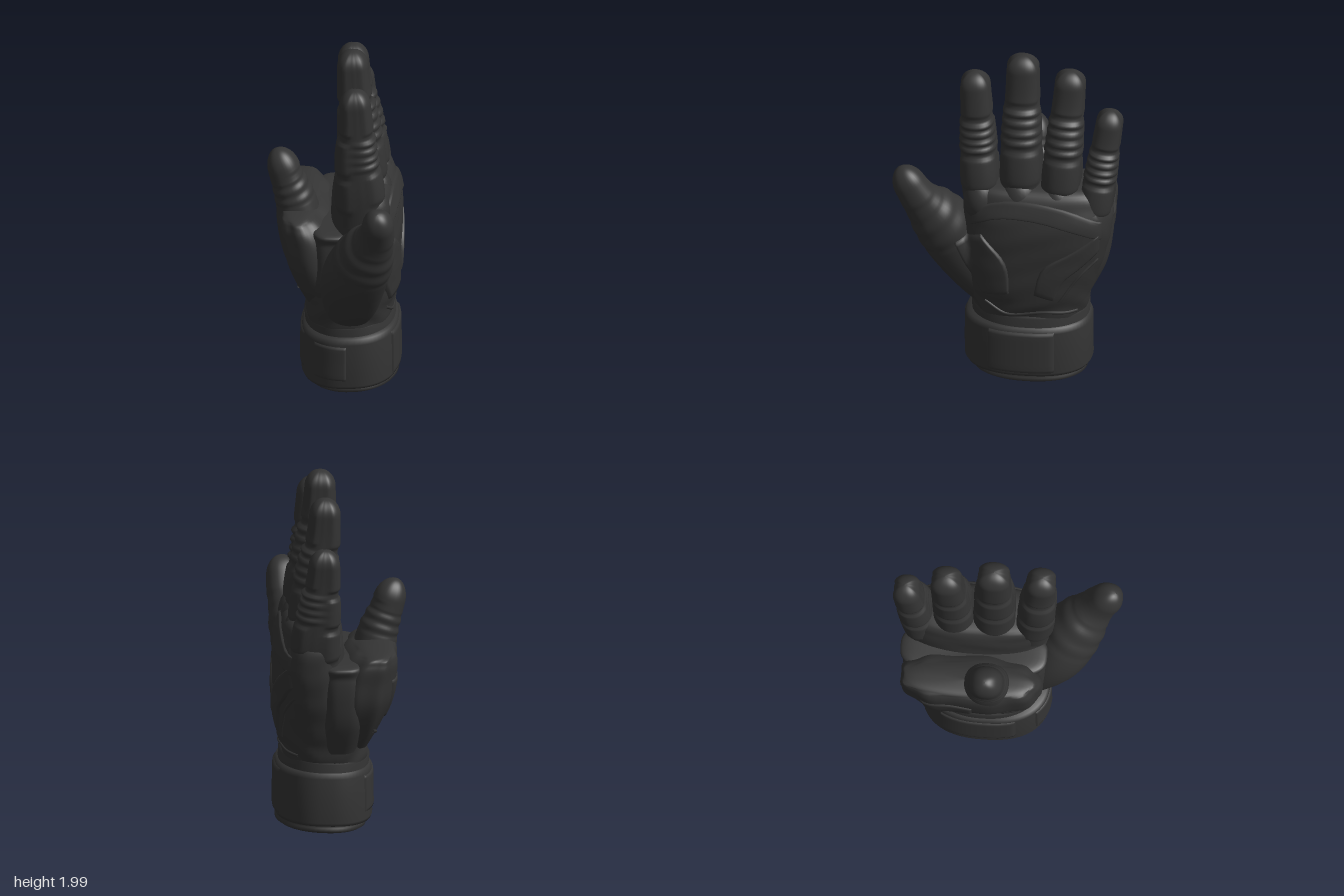
import * as THREE from 'three';

const V = (x, y, z) => new THREE.Vector3(x, y, z);
const leather = new THREE.MeshStandardMaterial({ color: 0x343434, side: THREE.DoubleSide });
leather.name = 'charcoal leather';

// Surface over a grid of points; closed rings wrap around
function gridMesh(name, rows, wrap) {
  const n = rows[0].length, pos = [], idx = [];
  rows.forEach(r => r.forEach(p => pos.push(p.x, p.y, p.z)));
  for (let i = 0; i < rows.length - 1; i++) {
    for (let j = 0; j < (wrap ? n : n - 1); j++) {
      const k = (j + 1) % n, a = i * n + j, b = i * n + k;
      idx.push(a, a + n, b, b, a + n, b + n);
    }
  }
  const g = new THREE.BufferGeometry();
  g.setAttribute('position', new THREE.Float32BufferAttribute(pos, 3));
  g.setIndex(idx);
  g.computeVertexNormals();
  const m = new THREE.Mesh(g, leather);
  m.name = name;
  return m;
}

// Smooth interpolation of a table of numbers, column by column
function sample(table, t) {
  const f = Math.min(t, 0.99999) * (table.length - 1), i = Math.floor(f), w = f - i;
  const at = k => table[Math.max(0, Math.min(table.length - 1, k))];
  return table[0].map((_, c) => {
    const [p, a, b, q] = [at(i - 1)[c], at(i)[c], at(i + 1)[c], at(i + 2)[c]];
    return a + 0.5 * w * (b - p + w * (2 * p - 5 * a + 4 * b - q + w * (3 * (a - b) + q - p)));
  });
}

const power = (v, e) => Math.sign(v) * Math.pow(Math.abs(v), e);

// Stack of horizontal rounded sections [y, cx, cz, rx, rz]
function body(name, table, { smooth = true, tilt = 0, exp = 2.5, bump = () => 0 } = {}) {
  const steps = smooth ? 48 : table.length - 1, rows = [];
  for (let i = 0; i <= steps; i++) {
    const [y, cx, cz, rx, rz] = smooth ? sample(table, i / steps) : table[i];
    const row = [];
    for (let j = 0; j < 64; j++) {
      const a = j / 64 * Math.PI * 2, b = bump(y, a);
      const x = power(Math.cos(a), 2 / exp) * (Math.max(rx, 0) + b);
      row.push(V(cx + x, y + x * tilt, cz + power(Math.sin(a), 2 / exp) * (Math.max(rz, 0) + b)));
    }
    rows.push(row);
  }
  return gridMesh(name, rows, true);
}

// Round-tipped limb along a path of [x, y, z, rx, rz]
function limb(name, table, cap, bump) {
  const rows = [], steps = 80, end = V(...table[table.length - 1].slice(0, 3));
  const pt = t => V(...sample(table, t).slice(0, 3));
  for (let i = 0; i <= steps; i++) {
    const t = 1 - Math.pow(1 - i / steps, 1.35);
    const [x, y, z, rx, rz] = sample(table, t), c = V(x, y, z);
    const T = pt(Math.min(1, t + 0.01)).sub(pt(Math.max(0, t - 0.01))).normalize();
    const U = V(1, 0, 0).addScaledVector(T, -T.x).normalize(), W = U.clone().cross(T);
    const d = Math.min(1, c.distanceTo(end) / cap), k = Math.sqrt(1 - (1 - d) ** 2);
    const row = [];
    for (let j = 0; j < 36; j++) {
      const a = j / 36 * Math.PI * 2, b = bump(t, a);
      row.push(c.clone().addScaledVector(U, power(Math.cos(a), 0.88) * (rx + b) * k)
        .addScaledVector(W, power(Math.sin(a), 0.88) * (rz + b) * k));
    }
    rows.push(row);
  }
  return gridMesh(name, rows, true);
}

const within = (t, a, b) => THREE.MathUtils.smoothstep(t, a, a + 0.025) * (1 - THREE.MathUtils.smoothstep(t, b - 0.025, b));

// Finger relief: plates and knuckle ribs on the back, three pads on the palm side
function fingerRelief(t, a) {
  const c = Math.cos(a);
  const back = THREE.MathUtils.smoothstep(c, 0.35, 0.55), front = THREE.MathUtils.smoothstep(-c, 0.2, 0.45);
  return back * 0.01 * (within(t, 0.18, 0.4) + within(t, 0.69, 1.1))
    + Math.max(0, 0.3 + 0.7 * c) * 0.017 * within(t, 0.42, 0.67) * Math.abs(Math.sin((t - 0.42) * Math.PI * 16))
    + front * 0.012 * (within(t, 0.12, 0.37) + within(t, 0.4, 0.64) + within(t, 0.68, 1.1));
}

const thumbRelief = (t, a) => 0.006 * within(t, 0.78, 1.1) * Math.max(0, Math.cos(a))
  + 0.003 * within(t, 0.48, 0.74) * Math.sin(t * 60 + Math.sin(a));

export function createModel() {
  const glove = new THREE.Group();
  glove.name = 'glove';
  const add = m => (glove.add(m), m);

  // Hand, the padded heel on the palm side, and the palm joining them
  const hand = add(body('hand', [
    [0.34, 0.08, -0.1, 0.22, 0.3], [0.45, 0.08, -0.11, 0.24, 0.32], [0.6, 0.1, -0.11, 0.25, 0.36],
    [0.8, 0.15, -0.13, 0.21, 0.4], [1.0, 0.17, -0.16, 0.195, 0.41], [1.13, 0.16, -0.155, 0.175, 0.405],
    [1.22, 0.15, -0.13, 0.13, 0.36], [1.24, 0.15, -0.12, 0, 0]
  ], { bump: (y, a) => 0.004 * Math.sin(y * 40 + 3 * Math.sin(a * 3)) * (y < 0.55 ? 1 : 0.4) }));
  const heel = add(body('palmHeel', [
    [0.44, -0.02, -0.13, 0.12, 0.2], [0.6, -0.08, -0.15, 0.135, 0.31], [0.76, -0.12, -0.165, 0.16, 0.375],
    [0.9, -0.14, -0.17, 0.17, 0.385], [1.0, -0.175, -0.18, 0.14, 0.375], [1.05, -0.2, -0.19, 0.085, 0.31],
    [1.065, -0.2, -0.19, 0, 0]
  ], { exp: 2.5, bump: (y, a) => 0.007 * Math.sin(a * 9) * Math.min(1, (y - 0.44) * 3) * (y < 1.04 ? 1 : 0) }));
  add(body('palm', [
    [0.48, 0.02, -0.14, 0.12, 0.3], [0.65, 0.0, -0.15, 0.15, 0.37], [0.8, 0.0, -0.16, 0.15, 0.39],
    [0.93, 0.0, -0.165, 0.15, 0.39], [1.0, 0.0, -0.165, 0.13, 0.37], [1.0, 0.0, -0.165, 0, 0]
  ], { exp: 3 }));

  // Thumbs: one at the side, one rising from the heel
  const thumb = add(limb('sideThumb', [
    [0.08, 0.42, 0.05, 0.11, 0.1], [0.1, 0.6, 0.17, 0.16, 0.14], [0.13, 0.8, 0.295, 0.18, 0.16],
    [0.2, 0.99, 0.395, 0.155, 0.15], [0.257, 1.15, 0.495, 0.095, 0.1], [0.268, 1.33, 0.595, 0.078, 0.08]
  ], 0.11, thumbRelief));
  add(limb('palmThumb', [
    [-0.14, 0.75, -0.08, 0.12, 0.14], [-0.185, 0.92, -0.08, 0.125, 0.14], [-0.22, 1.08, -0.08, 0.11, 0.12],
    [-0.27, 1.22, -0.08, 0.09, 0.1], [-0.325, 1.375, -0.08, 0.075, 0.085]
  ], 0.11, thumbRelief));

  // Fingers: [name, base z, base y, tip x, tip y, tip z, half width]
  for (const [name, bz, by, tx, ty, tz, w] of [
    ['indexFinger', 0.155, 1.06, 0.12, 1.89, 0.2, 0.093],
    ['middleFinger', -0.06, 1.08, 0.095, 2.0, -0.065, 0.103],
    ['ringFinger', -0.27, 1.06, 0.085, 1.91, -0.33, 0.097],
    ['littleFinger', -0.455, 0.96, 0.1, 1.68, -0.555, 0.083]
  ]) {
    const at = (k, x, rx, rz) => [x, by + (ty - by) * k, bz + (tz - bz) * k, rx, rz];
    add(limb(name, [
      at(0, 0.15, 0.13, w), at(0.25, 0.15, 0.125, w * 1.12), at(0.5, 0.13, 0.108, w * 1.03),
      at(0.75, tx + 0.01, 0.083, w * 0.9), at(1, tx, 0.07, w * 0.83)
    ], 0.09, fingerRelief));
    const knuckle = add(new THREE.Mesh(new THREE.SphereGeometry(1, 24, 16), leather));
    knuckle.name = name + 'Knuckle';
    knuckle.scale.set(0.09, 0.13, w);
    knuckle.position.set(0.225, by + 0.07, bz);
  }

  // Cuff with rolled hem and a dished closed base, plus the wrist strap
  add(body('cuff', [
    [0.1, 0.1, -0.11, 0, 0], [0.1, 0.1, -0.11, 0.03, 0.03], [0.07, 0.1, -0.11, 0.04, 0.05],
    [0.07, 0.1, -0.11, 0.18, 0.24], [0.035, 0.1, -0.11, 0.22, 0.285], [0.025, 0.1, -0.11, 0.235, 0.3],
    [0.035, 0.1, -0.11, 0.25, 0.315], [0.055, 0.1, -0.11, 0.25, 0.315], [0.065, 0.1, -0.11, 0.24, 0.305],
    [0.25, 0.09, -0.11, 0.245, 0.32], [0.42, 0.08, -0.11, 0.25, 0.325], [0.44, 0.08, -0.11, 0.22, 0.3]
  ], { smooth: false, tilt: 0.06, exp: 2.2 }));
  const strap = add(body('wristStrap', [
    [0.07, 0.085, -0.1, 0.23, 0.3], [0.07, 0.085, -0.1, 0.262, 0.34], [0.09, 0.085, -0.1, 0.27, 0.352],
    [0.22, 0.085, -0.1, 0.268, 0.35], [0.34, 0.085, -0.1, 0.266, 0.35], [0.37, 0.085, -0.1, 0.256, 0.338],
    [0.375, 0.085, -0.1, 0.22, 0.3]
  ], { smooth: false, tilt: 0.04, exp: 2.4 }));

  // Project a flat (u, y) point onto the glove from direction D
  const ray = new THREE.Raycaster();
  const targets = [hand, heel, thumb, strap];
  const project = (u, y, D, lift) => {
    const o = D.x ? V(D.x * 2, y, u) : V(u, y, D.z * 2);
    ray.set(o, D.clone().negate());
    const hit = ray.intersectObjects(targets, false)[0];
    return (hit ? hit.point : D.x ? V(0.1, y, u) : V(u, y, -0.1)).clone().addScaledVector(D, lift);
  };
  const flat = pts => new THREE.CatmullRomCurve3(pts.map(([u, y]) => V(u, y, 0)));

  // Raised panel filling the band between two edge curves
  const panel = (name, edgeA, edgeB, D, lift = 0.016) => {
    const A = flat(edgeA), B = flat(edgeB);
    const stops = [0, 0.03, 0.09, 0.2, 0.3, 0.4, 0.5, 0.6, 0.7, 0.8, 0.91, 0.97, 1];
    add(gridMesh(name, stops.map(s => stops.map(t => {
      const p = A.getPoint(s).lerp(B.getPoint(s), t), e = Math.min(s, 1 - s, t, 1 - t);
      return project(p.x, p.y, D, e === 0 ? -0.006 : e < 0.05 ? lift * 0.8 : lift);
    })), false));
  };
  // Raised stitched seam
  const seam = (name, pts, D) => {
    const path = flat(pts).getPoints(16).map(p => project(p.x, p.y, D, 0));
    const m = add(new THREE.Mesh(new THREE.TubeGeometry(new THREE.CatmullRomCurve3(path), 32, 0.009, 6), leather));
    m.name = name;
  };

  const BACK = V(1, 0, 0), PALM = V(-1, 0, 0), FRONT = V(0, 0, 1);
  // Back of the hand
  panel('thumbSidePanel', [[0.29, 0.9], [0.23, 0.74], [0.13, 0.57]], [[0.14, 0.97], [0.0, 0.8], [-0.02, 0.6]], BACK);
  panel('outerPanel', [[-0.15, 0.6], [-0.2, 0.78], [-0.36, 0.89], [-0.52, 1.0]],
    [[-0.26, 0.56], [-0.32, 0.7], [-0.42, 0.79], [-0.51, 0.88]], BACK);
  panel('knuckleGuard', [[0.21, 1.0], [0.05, 1.08], [-0.15, 1.08], [-0.35, 1.03], [-0.53, 0.95]],
    [[0.21, 1.1], [0.05, 1.17], [-0.15, 1.18], [-0.35, 1.14], [-0.53, 1.06]], BACK, 0.012);
  seam('backSeam', [[0.12, 0.52], [0, 0.46], [-0.2, 0.48], [-0.38, 0.46]], BACK);
  seam('outerSeam', [[-0.29, 0.55], [-0.4, 0.72], [-0.5, 0.82]], BACK);
  // Palm heel padding
  panel('heelPad', [[-0.45, 0.9], [-0.3, 0.92], [-0.15, 0.9]], [[-0.38, 0.68], [-0.27, 0.64], [-0.16, 0.66]], PALM, 0.01);
  seam('heelSeam', [[-0.4, 0.6], [-0.2, 0.55], [0.06, 0.6]], PALM);
  // Strap tabs
  panel('strapBackTab', [[0.1, 0.36], [-0.27, 0.36]], [[0.1, 0.1], [-0.27, 0.1]], BACK, 0.01);
  panel('strapFrontTab', [[-0.1, 0.33], [0.08, 0.33]], [[-0.1, 0.12], [0.08, 0.12]], FRONT, 0.01);
  panel('strapPalmTab', [[-0.34, 0.33], [0.08, 0.33]], [[-0.34, 0.12], [0.08, 0.12]], PALM, 0.01);
  return glove;
}
